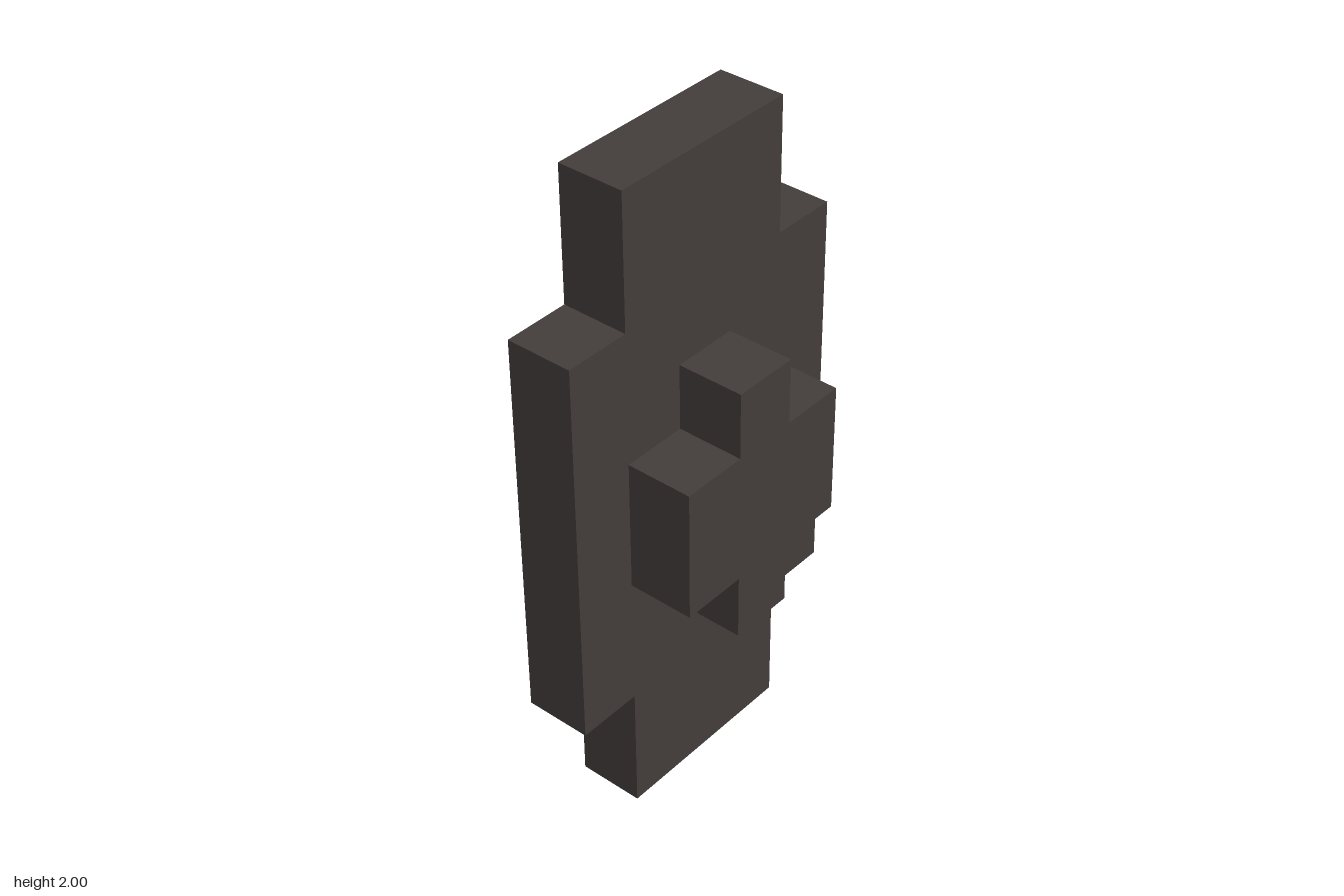
import * as THREE from 'three';

const darkStone = new THREE.MeshStandardMaterial({ color: 0x433c3b });
darkStone.name = 'darkStone';

// Stepped cross outline: a tall narrow bar crossed by a short wide one,
// extruded along +x from x0 and centred on y = 1.
function crossPlate(name, narrow, tall, wide, short, x0, depth) {
  const n = narrow / 2, t = tall / 2, w = wide / 2, s = short / 2;
  const shape = new THREE.Shape([
    [n, -t], [n, -s], [w, -s], [w, s], [n, s], [n, t],
    [-n, t], [-n, s], [-w, s], [-w, -s], [-n, -s], [-n, -t],
  ].map(([x, y]) => new THREE.Vector2(x, y)));
  const geometry = new THREE.ExtrudeGeometry(shape, { depth, bevelEnabled: false });
  geometry.rotateY(Math.PI / 2);
  geometry.translate(x0, 1, 0);
  const mesh = new THREE.Mesh(geometry, darkStone);
  mesh.name = name;
  return mesh;
}

export function createModel() {
  const model = new THREE.Group();
  model.name = 'steppedShield';
  // Large back plate and the small raised boss on its face
  model.add(crossPlate('backPlate', 0.6, 2, 1, 1.2, -0.2, 0.2));
  model.add(crossPlate('boss', 0.2, 0.8, 0.6, 0.4, 0, 0.2));
  return model;
}
